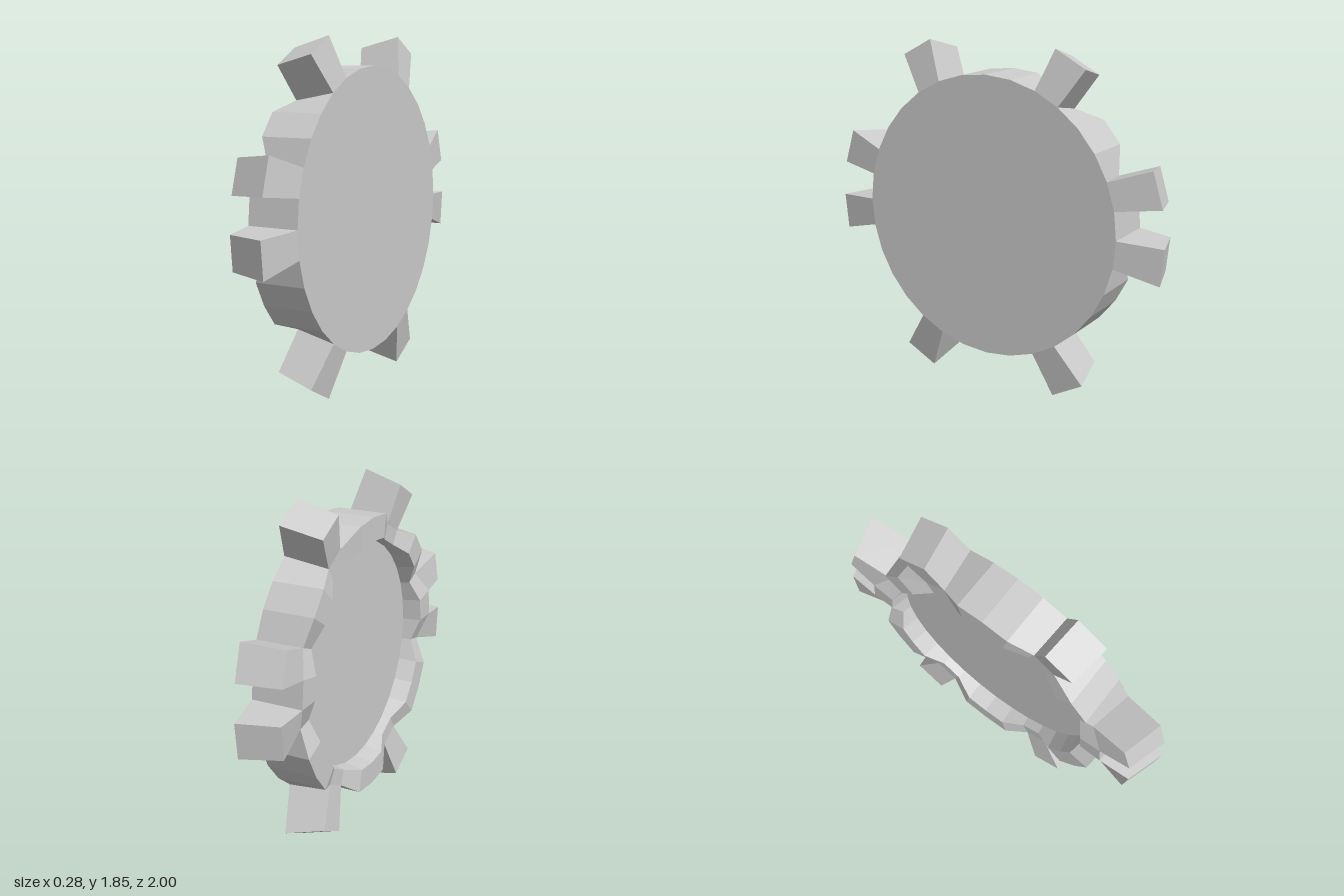
import * as THREE from 'three';

const SIDES = 32;
const CENTRE_Y = 0.939;
// Toothed segments (counted from +z upward): [tip radius, downward shift of the tip]
const SIDE_TOOTH = [1.0, 0.017];
const TOP_TOOTH = [0.988, 0];
const BOTTOM_TOOTH = [1.015, 0];
const TEETH = {
  1: SIDE_TOOTH, 14: SIDE_TOOTH, 16: SIDE_TOOTH, 31: SIDE_TOOTH,
  5: TOP_TOOTH, 10: TOP_TOOTH, 21: BOTTOM_TOOTH, 26: BOTTOM_TOOTH,
};
// Rim corners pulled inward where a tooth leaves the wheel
const DENTS = new Set([2, 5, 6, 10, 11, 14, 17, 21, 22, 26, 27, 31]);

const material = new THREE.MeshStandardMaterial({ color: 0xcccccc });

// Point at corner k, at radius r around the x axis
function polar(x, r, k) {
  const a = (k / SIDES) * Math.PI * 2;
  return new THREE.Vector3(x, r * Math.sin(a), r * Math.cos(a));
}

// Faceted mesh with one normal per quad; collapsed triangles are dropped
function quadMesh(quads, name) {
  const points = [];
  const normals = [];
  for (const [a, b, c, d] of quads) {
    const normal = c.clone().sub(a).cross(d.clone().sub(b)).normalize();
    for (const t of [[a, b, d], [b, c, d]]) {
      if (new THREE.Triangle(...t).getArea() < 1e-7) continue;
      points.push(...t);
      for (let i = 0; i < 3; i++) normals.push(...normal.toArray());
    }
  }
  const geometry = new THREE.BufferGeometry().setFromPoints(points);
  geometry.setAttribute('normal', new THREE.Float32BufferAttribute(normals, 3));
  const mesh = new THREE.Mesh(geometry, material);
  mesh.name = name;
  return mesh;
}

// Rings of the wheel: flat face, outer edge, back rim, recess wall and floor
const rings = [
  () => [0.14, 0],
  () => [0.14, 0.761],
  (k) => (DENTS.has(k) ? [-0.09, 0.71] : [-0.14, 0.761]),
  (k) => (DENTS.has(k) ? [-0.09, 0.625] : [-0.14, 0.635]),
  () => [-0.04, 0.612],
  () => [-0.04, 0],
];
const corner = (ring, k) => polar(...rings[ring](k % SIDES), k % SIDES);

function makeWheel() {
  const quads = [];
  for (let i = 0; i < rings.length - 1; i++) {
    for (let k = 0; k < SIDES; k++) {
      quads.push([corner(i, k), corner(i, k + 1), corner(i + 1, k + 1), corner(i + 1, k)]);
    }
  }
  return quadMesh(quads, 'wheelBody');
}

// A tooth flares out radially and leans toward the recessed side
function makeTooth(k, [tipRadius, drop]) {
  const base = [corner(1, k), corner(1, k + 1), corner(2, k + 1), corner(2, k)];
  const tip = [
    polar(0.09, tipRadius, k), polar(0.09, tipRadius, k + 1),
    polar(-0.125, tipRadius - 0.065, k + 1), polar(-0.125, tipRadius - 0.065, k),
  ];
  for (const p of tip) p.y -= drop;
  const quads = [tip];
  for (let i = 0; i < 4; i++) {
    const j = (i + 1) % 4;
    quads.push([base[i], base[j], tip[j], tip[i]]);
  }
  return quadMesh(quads, 'tooth');
}

export function createModel() {
  const model = new THREE.Group();
  model.name = 'toothedWheel';
  const wheel = new THREE.Group();
  wheel.name = 'wheel';
  wheel.position.y = CENTRE_Y;
  wheel.add(makeWheel());
  for (const [k, shape] of Object.entries(TEETH)) wheel.add(makeTooth(Number(k), shape));
  model.add(wheel);
  return model;
}
